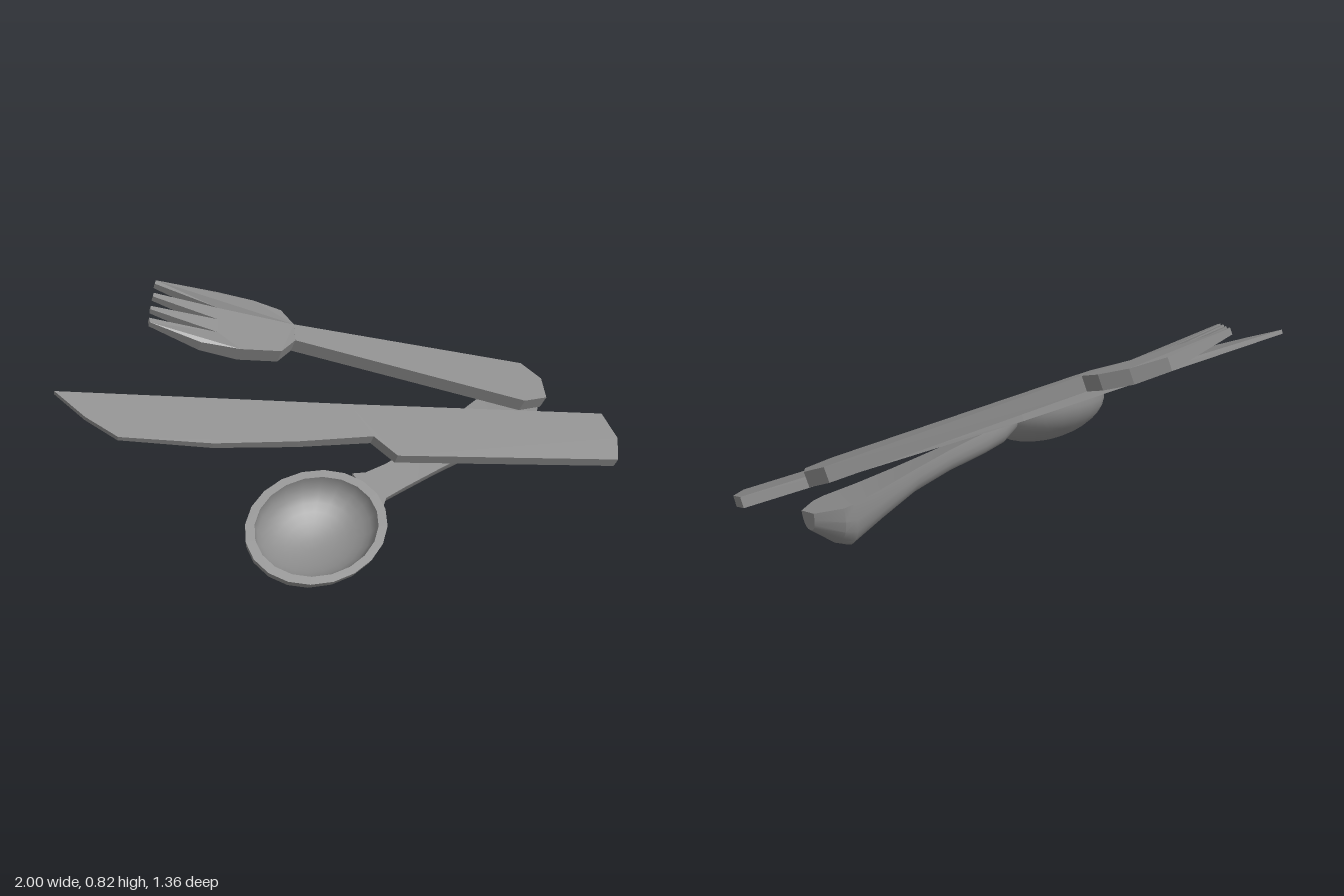
import * as THREE from 'three';
import { toCreasedNormals } from 'three/addons/utils/BufferGeometryUtils.js';

const steel = new THREE.MeshStandardMaterial({ color: 0x8a8a8a });
steel.name = 'grey steel';

function part(name, geometry) {
  const mesh = new THREE.Mesh(geometry, steel);
  mesh.name = name;
  return mesh;
}

// Flat piece: outline in x,z laid on the sloping plane y = h + a*x + b*z,
// thickened downwards along the plane's normal.
function slab(outline, { h, a, b }, thickness, dip = () => 0) {
  const shape = new THREE.Shape(outline.map(([x, z]) => new THREE.Vector2(x, -z)));
  const geo = new THREE.ExtrudeGeometry(shape, { depth: 1, bevelEnabled: false });
  geo.rotateX(-Math.PI / 2);
  const n = new THREE.Vector3(-a, 1, -b).normalize();
  const p = geo.attributes.position;
  for (let i = 0; i < p.count; i++) {
    const x = p.getX(i), z = p.getZ(i);
    const t = p.getY(i) > 0.5 ? 0 : thickness(x, z);
    p.setXYZ(i, x - n.x * t, h + a * x + b * z - dip(x, z) - n.y * t, z - n.z * t);
  }
  geo.computeVertexNormals();
  return geo;
}

// Loft of flat-topped, round-bottomed sections along x.
function loft(stations, sides = 10) {
  const pos = [], idx = [], ring = sides + 1;
  for (const [x, zc, hw, top, depth, tilt] of stations) {
    const c = Math.cos(tilt), s = Math.sin(tilt);
    for (let i = 0; i <= sides; i++) {
      const f = (i / sides) * Math.PI;
      const u = hw * Math.sign(Math.cos(f)) * Math.abs(Math.cos(f)) ** 0.85;
      const d = depth * Math.max(Math.sin(f), 0) ** 0.85;
      pos.push(x, top - u * s - d * c, zc + u * c - d * s);
    }
  }
  for (let k = 0; k < stations.length - 1; k++) {
    for (let i = 0; i < ring; i++) {
      const j = (i + 1) % ring, p = k * ring, q = p + ring;
      idx.push(p + i, p + j, q + i, p + j, q + j, q + i);
    }
  }
  const last = (stations.length - 1) * ring;
  for (let i = 1; i < ring - 1; i++) {
    idx.push(0, i + 1, i, last, last + i, last + i + 1);
  }
  const geo = new THREE.BufferGeometry();
  geo.setAttribute('position', new THREE.Float32BufferAttribute(pos, 3));
  geo.setIndex(idx);
  return toCreasedNormals(geo, 0.7);
}

function createKnife() {
  const g = new THREE.Group();
  g.name = 'knife';
  const plane = { h: 0.408, a: -0.062, b: -0.386 };
  g.add(part('knifeBlade', slab(
    [[-1, -0.48], [-0.96, -0.34], [-0.9, -0.22], [-0.6, -0.06], [-0.3, 0.06], [-0.01, 0.16], [0, 0]],
    plane, x => 0.045 + 0.028 * Math.min(x, 0))));
  g.add(part('knifeHandle', slab(
    [[0, 0], [-0.01, 0.16], [0.02, 0.27], [0.885, 0.67], [0.97, 0.59], [1, 0.47]],
    plane, () => 0.045)));
  return g;
}

function createFork() {
  const g = new THREE.Group();
  g.name = 'fork';
  const plane = { h: 0.498, a: -0.12, b: -0.4 };
  g.add(part('forkHandle', slab(
    [[-0.02, -0.325], [-0.067, -0.255], [0.68, 0.315], [0.79, 0.335], [0.845, 0.25], [0.815, 0.155]],
    plane, () => 0.062)));
  // Distance from the neck towards the tines
  const reach = (x, z) => THREE.MathUtils.clamp((-0.83 * (x + 0.04) - 0.557 * (z + 0.29)) / 0.56, 0, 1);
  g.add(part('forkHead', slab(
    [[-0.067, -0.255], [-0.15, -0.235], [-0.29, -0.31], [-0.42, -0.385],
      [-0.565, -0.505], [-0.555, -0.525], [-0.325, -0.41],
      [-0.525, -0.56], [-0.515, -0.575], [-0.285, -0.465],
      [-0.48, -0.615], [-0.465, -0.63], [-0.25, -0.515],
      [-0.435, -0.67], [-0.42, -0.685], [-0.2, -0.585], [-0.09, -0.5], [-0.02, -0.41], [-0.02, -0.325]],
    plane,
    (x, z) => 0.062 - 0.04 * Math.max(0, reach(x, z) - 0.4) / 0.6,
    (x, z) => 0.028 * Math.sin(Math.PI * reach(x, z)))));
  return g;
}

function createSpoon() {
  const g = new THREE.Group();
  g.name = 'spoon';
  // Bowl: outer dome, flat rim, inner hollow
  const profile = [];
  for (let i = 0; i <= 8; i++) {
    const f = (i / 8) * Math.PI / 2;
    profile.push(new THREE.Vector2(Math.sin(f), -0.147 * Math.cos(f)));
  }
  for (let i = 8; i >= 0; i--) {
    const f = (i / 8) * Math.PI / 2;
    profile.push(new THREE.Vector2(0.87 * Math.sin(f), -0.115 * Math.cos(f)));
  }
  const bowl = new THREE.LatheGeometry(profile, 20);
  bowl.scale(0.288, 1, 0.23);
  bowl.rotateX(0.37);
  bowl.translate(-0.425, 0.235, 0.33);
  g.add(part('spoonBowl', toCreasedNormals(bowl, 0.7)));

  // Handle stations: x, centre z, half width, top y, depth, tilt
  g.add(part('spoonHandle', loft([
    [-0.165, 0.305, 0.095, 0.242, 0.06, 0.37],
    [-0.11, 0.292, 0.066, 0.238, 0.085, 0.37],
    [0, 0.283, 0.062, 0.225, 0.09, 0.36],
    [0.2, 0.262, 0.07, 0.21, 0.09, 0.34],
    [0.4, 0.235, 0.088, 0.195, 0.1, 0.3],
    [0.58, 0.208, 0.105, 0.183, 0.135, 0.25],
    [0.74, 0.186, 0.117, 0.175, 0.177, 0.2],
    [0.79, 0.18, 0.113, 0.172, 0.15, 0.2],
    [0.88, 0.18, 0.045, 0.168, 0.07, 0.2],
  ])));
  return g;
}

export function createModel() {
  const model = new THREE.Group();
  model.name = 'cutlerySet';
  model.add(createKnife(), createFork(), createSpoon());
  return model;
}
